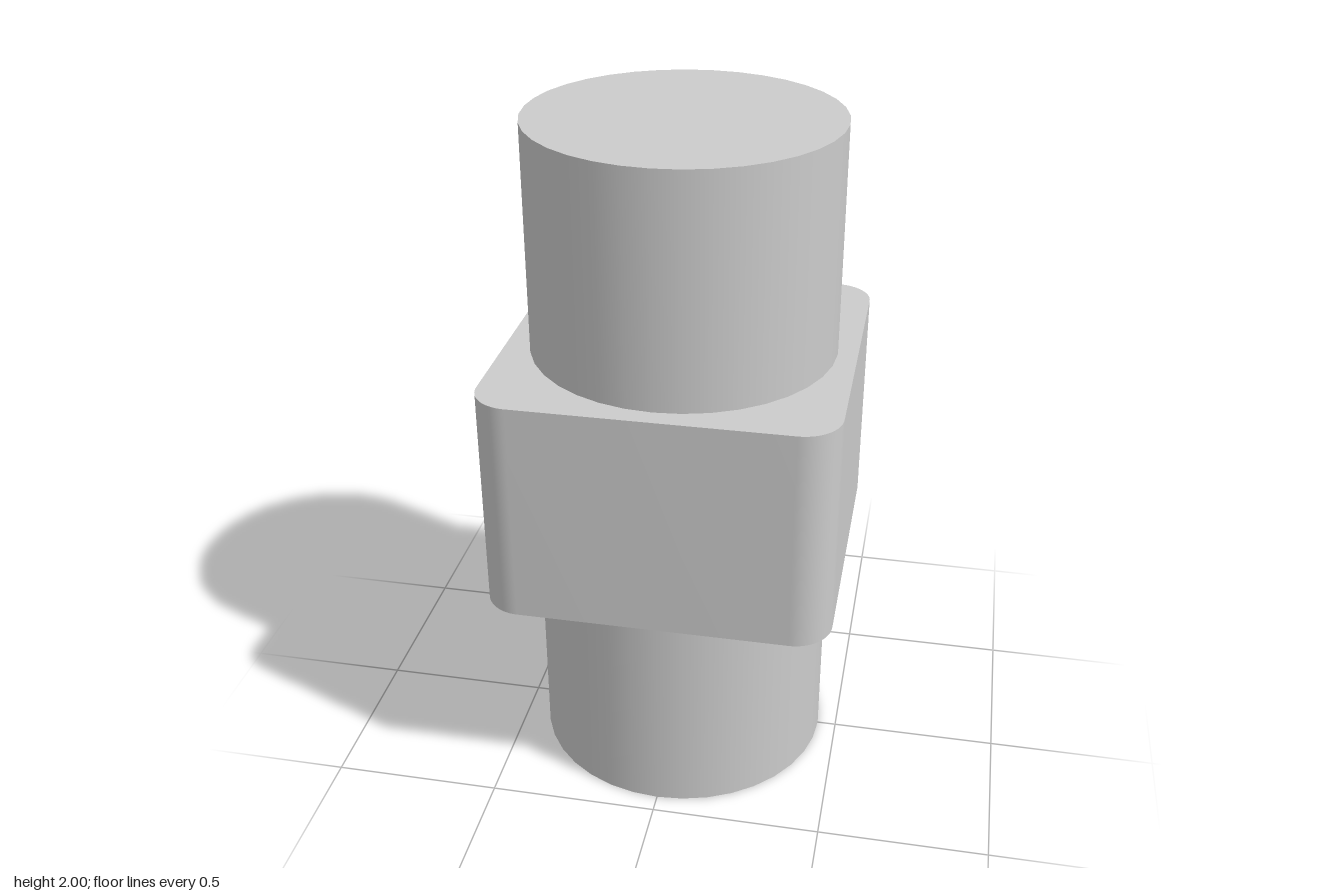
import * as THREE from 'three';
import { toCreasedNormals } from 'three/addons/utils/BufferGeometryUtils.js';

const HALF = 0.5;      // half width of the square collar
const CORNER = 0.11;   // collar corner radius
const RADIUS = 0.443;  // shaft radius
const BOTTOM = 0.67, TOP = 1.333; // collar height range

// Square outline with rounded corners
function roundedSquare(half, r) {
  const shape = new THREE.Shape();
  const c = half - r;
  [[c, c], [-c, c], [-c, -c], [c, -c]].forEach(([x, y], i) => {
    shape.absarc(x, y, r, i * Math.PI / 2, (i + 1) * Math.PI / 2, false);
  });
  shape.closePath();
  return shape;
}

export function createModel() {
  const model = new THREE.Group();
  const material = new THREE.MeshStandardMaterial({ color: 0xcccccc });

  const add = (name, geometry, y) => {
    const mesh = new THREE.Mesh(geometry, material);
    mesh.name = name;
    mesh.position.y = y;
    model.add(mesh);
  };

  // Round shaft running the full height
  add('shaft', new THREE.CylinderGeometry(RADIUS, RADIUS, 2, 36), 1);

  // Square collar around the middle, smooth at its upright corners
  const collar = new THREE.ExtrudeGeometry(roundedSquare(HALF, CORNER), {
    depth: TOP - BOTTOM, bevelEnabled: false, curveSegments: 10,
  });
  collar.rotateX(-Math.PI / 2);
  add('collar', toCreasedNormals(collar, Math.PI / 6), BOTTOM);

  return model;
}
